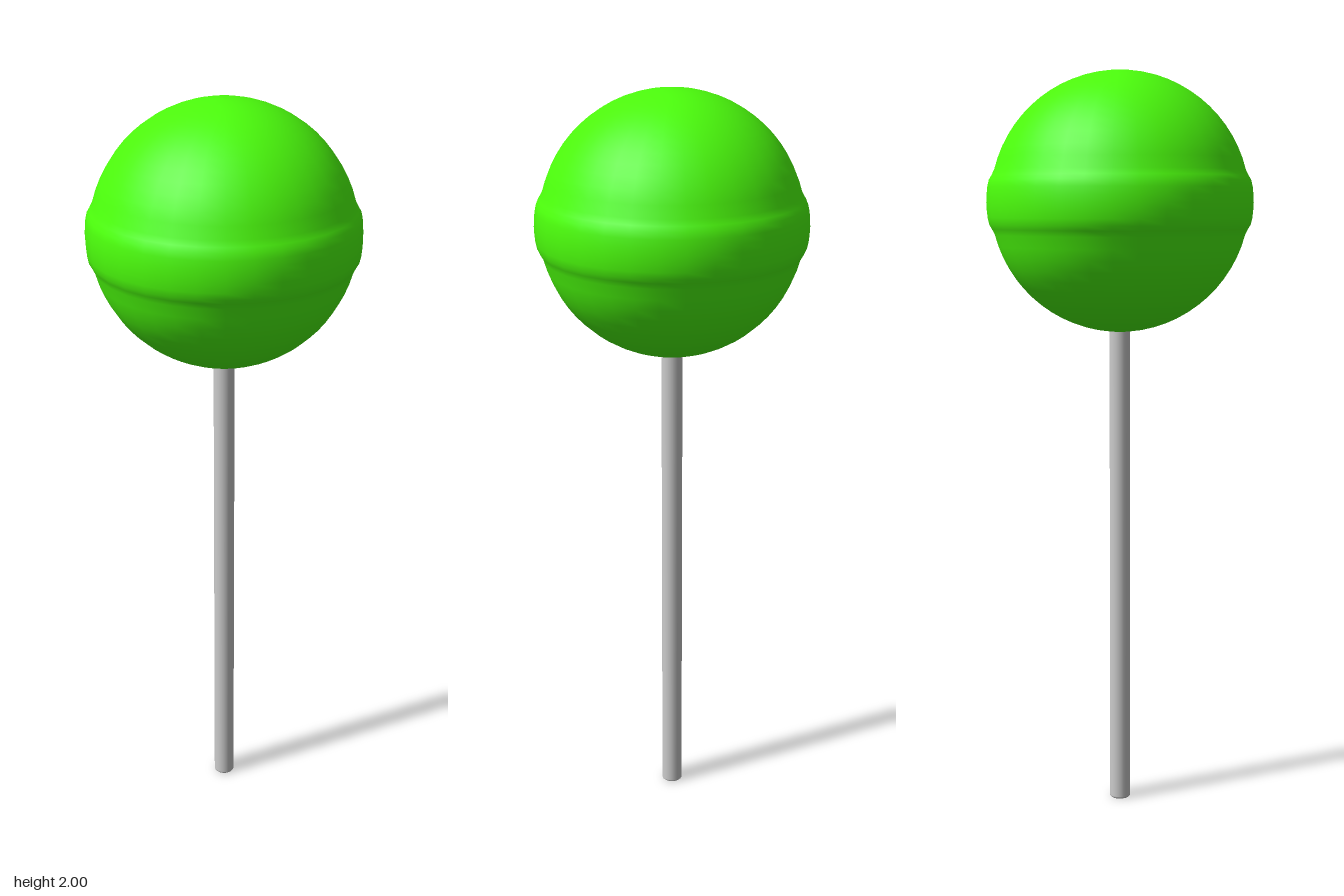
import * as THREE from 'three';

const SEGMENTS = 32;

function lathe(name, points, segments, color) {
  const geometry = new THREE.LatheGeometry(points.map(([r, y]) => new THREE.Vector2(r, y)), segments);
  const mesh = new THREE.Mesh(geometry, new THREE.MeshStandardMaterial({ color }));
  mesh.name = name;
  return mesh;
}

export function createModel() {
  const group = new THREE.Group();
  group.name = 'lollipop';

  // Ball: two spherical caps joined by a raised, softly rounded band
  const R = 0.345, centre = 1.655, bandAngle = 0.25, steps = 14;
  const cap = [];
  for (let i = 0; i <= steps; i++) {
    const a = Math.PI / 2 + (bandAngle - Math.PI / 2) * (i / steps);
    cap.push([Math.max(R * Math.cos(a), 0), R * Math.sin(a)]);
  }
  const halfBand = [[0.342, 0.07], [0.349, 0.058], [0.353, 0.04], [0.355, 0.02]];
  const upper = [...cap, ...halfBand];
  const profile = [
    ...upper.map(([r, y]) => [r, centre - y]),
    [0.356, centre],
    ...upper.slice().reverse().map(([r, y]) => [r, centre + y]),
  ];
  group.add(lathe('candyBall', profile, SEGMENTS, 0x4cff0c));

  // Hollow stick with slightly eased edges at its open lower end
  const outer = 0.028, inner = 0.018, top = 1.4, ease = 0.003;
  group.add(lathe('stick', [
    [inner, top], [inner, ease * 2], [inner, ease], [inner + ease, 0],
    [outer - ease, 0], [outer, ease], [outer, ease * 2], [outer, top],
  ], 24, 0xcccccc));

  return group;
}
